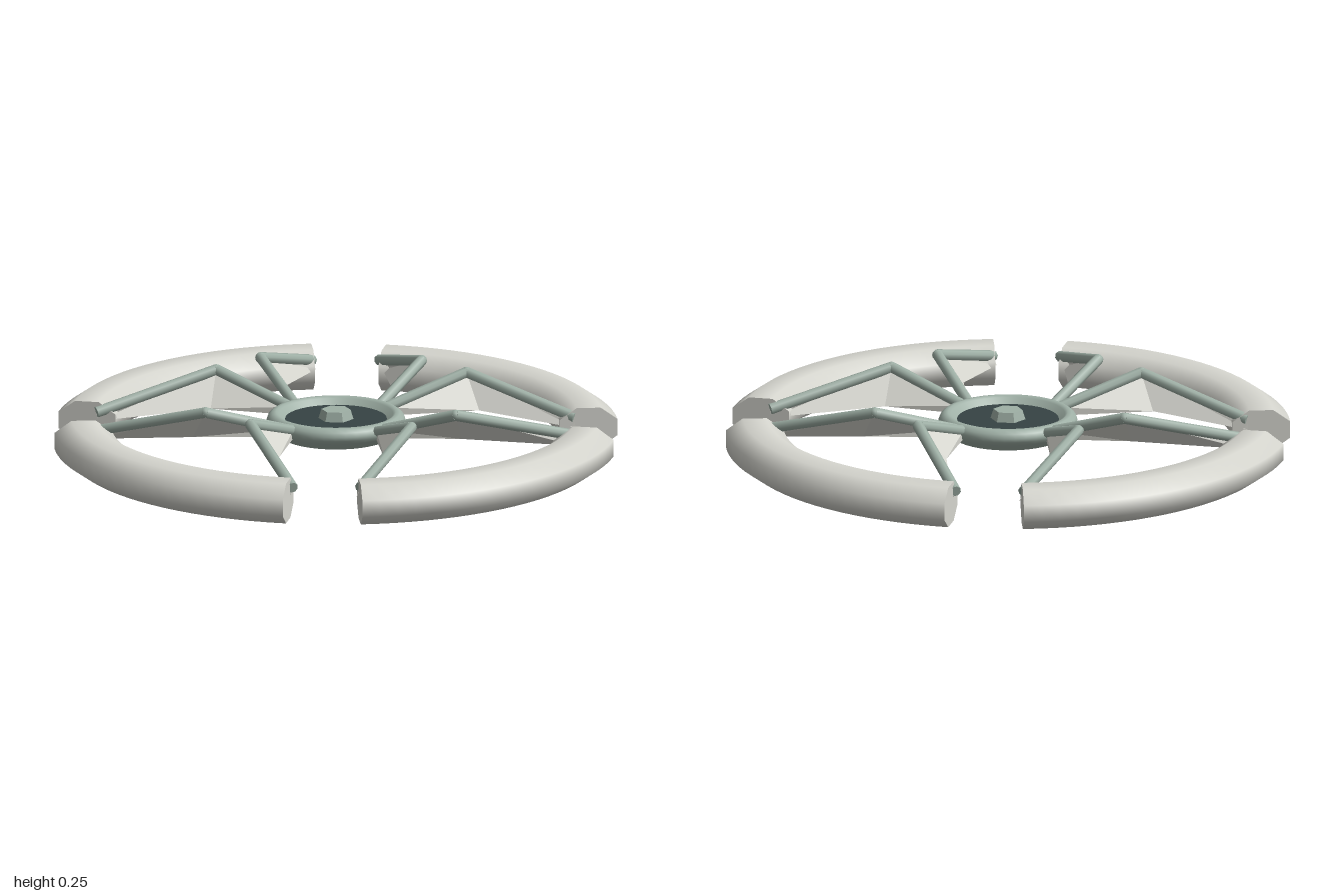
import * as THREE from 'three';

const paint = (name, color) => Object.assign(new THREE.MeshStandardMaterial({ color }), { name });
const V = (x, y, z) => new THREE.Vector3(x, y, z);

export function createModel() {
  const shellGrey = paint('light grey', 0xd6d6cf);
  shellGrey.side = THREE.DoubleSide;
  const frameGreen = paint('grey green', 0x9fb0a6);
  const coreDark = paint('dark slate', 0x364344);

  const model = new THREE.Group();
  model.name = 'segmentedWheel';
  const add = (parent, name, geometry, material) => {
    const mesh = new THREE.Mesh(geometry, material);
    mesh.name = name;
    parent.add(mesh);
    return mesh;
  };

  // Round bar between two points
  const bar = (parent, name, a, b, r) => {
    const dir = b.clone().sub(a);
    const mesh = add(parent, name, new THREE.CylinderGeometry(r, r, dir.length(), 8), frameGreen);
    mesh.position.copy(a).add(b).multiplyScalar(0.5);
    mesh.quaternion.setFromUnitVectors(V(0, 1, 0), dir.normalize());
  };

  // Flat-topped octagonal section of the rim
  const section = [];
  for (let i = 0; i <= 8; i++) {
    const a = (i - 2.5) * Math.PI / 4;
    section.push(new THREE.Vector2(0.8975 + 0.111 * Math.cos(a), 0.0725 + 0.0785 * Math.sin(a)));
  }
  const phiStart = THREE.MathUtils.degToRad(180 - 47.8);
  const phiLength = THREE.MathUtils.degToRad(73.8);

  // Bent spokes: upper path (hub, elbow, rim) and lower edge of the web panel
  const spokes = [
    {
      top: [V(0.025, 0.13, -0.22), V(-0.012, 0.225, -0.52), V(-0.385, 0.11, -0.77)],
      low: [V(0.025, 0.1, -0.22), V(-0.105, 0.11, -0.475), V(-0.375, 0.075, -0.775)],
    },
    {
      top: [V(0.055, 0.13, -0.22), V(0.21, 0.225, -0.49), V(0.625, 0.11, -0.575)],
      low: [V(0.055, 0.1, -0.22), V(0.3, 0.11, -0.445), V(0.635, 0.075, -0.565)],
    },
  ];

  for (let k = 0; k < 4; k++) {
    const quarter = new THREE.Group();
    quarter.name = 'rimQuarter';
    quarter.rotation.y = k * Math.PI / 2;
    model.add(quarter);

    add(quarter, 'rimArc', new THREE.LatheGeometry(section, 20, phiStart, phiLength), shellGrey);
    for (const phi of [phiStart, phiStart + phiLength]) {
      const cap = add(quarter, 'rimEnd', new THREE.ShapeGeometry(new THREE.Shape(section.slice(0, 8))), shellGrey);
      cap.rotation.y = phi - Math.PI / 2;
    }

    for (const { top, low } of spokes) {
      bar(quarter, 'innerSpoke', top[0], top[1], 0.02);
      bar(quarter, 'outerSpoke', top[1], top[2], 0.02);
      const elbow = add(quarter, 'spokeElbow', new THREE.SphereGeometry(0.02, 8, 6), frameGreen);
      elbow.position.copy(top[1]);

      // Web panel hanging below the spoke
      const points = [];
      for (let i = 0; i < 2; i++) {
        points.push(top[i], low[i], low[i + 1], top[i], low[i + 1], top[i + 1]);
      }
      const web = new THREE.BufferGeometry().setFromPoints(points);
      web.computeVertexNormals();
      add(quarter, 'spokeWeb', web, shellGrey);
    }
  }

  // Hub ring tapering to the underside
  const ring = [
    [0.197, 0.07], [0.232, 0.098], [0.244, 0.112], [0.246, 0.126], [0.24, 0.141],
    [0.226, 0.152], [0.212, 0.154], [0.202, 0.148], [0.176, 0.125],
  ].map(([x, y]) => new THREE.Vector2(x, y));
  add(model, 'hubRing', new THREE.LatheGeometry(ring, 40), frameGreen);

  // Dark core with a hexagonal nut
  const core = add(model, 'hubCore', new THREE.CylinderGeometry(0.18, 0.197, 0.06, 40), coreDark);
  core.position.y = 0.1;
  const nutShape = new THREE.CylinderGeometry(0.052, 0.063, 0.035, 6).toNonIndexed();
  nutShape.computeVertexNormals();
  const nut = add(model, 'hubNut', nutShape, frameGreen);
  nut.position.y = 0.146;
  nut.rotation.y = Math.PI / 6;

  return model;
}
